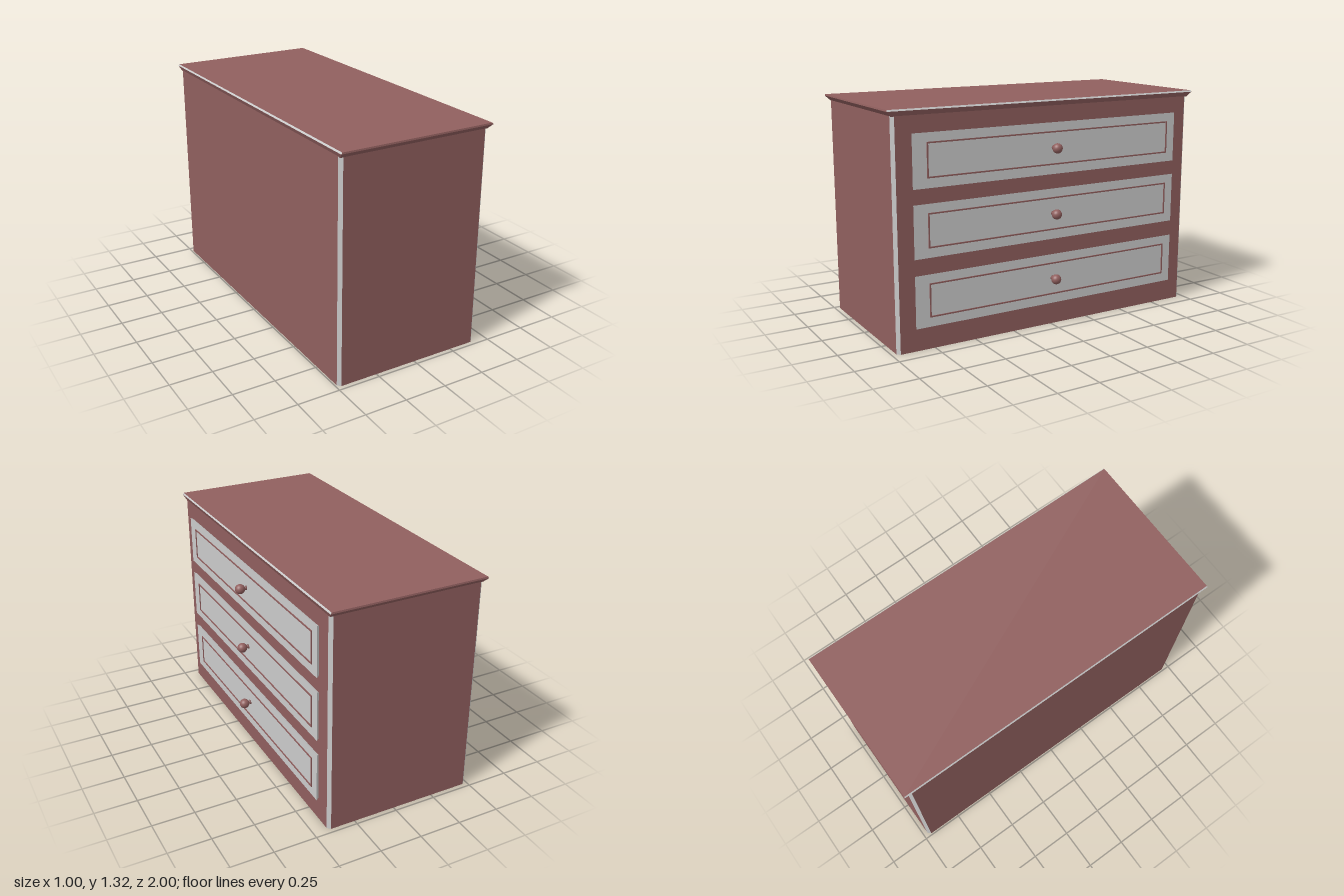
import * as THREE from 'three';

const wood = new THREE.MeshStandardMaterial({ color: 0x905f5e });
const grey = new THREE.MeshStandardMaterial({ color: 0xcccccc });

// Horizontal rectangle at height y; c > 0 cuts the corners
function ring(y, x0, x1, hz, c = 0) {
  const v = (x, z) => new THREE.Vector3(x, y, z);
  if (!c) return [v(x1, hz), v(x1, -hz), v(x0, -hz), v(x0, hz)];
  return [
    v(x1, hz - c), v(x1, -hz + c), v(x1 - c, -hz), v(x0 + c, -hz),
    v(x0, -hz + c), v(x0, hz - c), v(x0 + c, hz), v(x1 - c, hz),
  ];
}

// Flat-faced skin through stacked rings; isGrey(band, side) picks the colour
function loft(name, rings, isGrey) {
  const points = { wood: [], grey: [] };
  const n = rings[0].length;
  for (let b = 0; b < rings.length - 1; b++) {
    for (let i = 0; i < n; i++) {
      const j = (i + 1) % n;
      const [p, q] = [rings[b], rings[b + 1]];
      points[isGrey(b, i) ? 'grey' : 'wood'].push(p[i], p[j], q[j], p[i], q[j], q[i]);
    }
  }
  const caps = points[isGrey(-1, -1) ? 'grey' : 'wood'];
  const [low, high] = [rings[0], rings[rings.length - 1]];
  for (let i = 1; i < n - 1; i++) {
    caps.push(high[0], high[i], high[i + 1], low[0], low[i + 1], low[i]);
  }
  const group = new THREE.Group();
  group.name = name;
  for (const [key, material] of [['wood', wood], ['grey', grey]]) {
    if (!points[key].length) continue;
    const geometry = new THREE.BufferGeometry().setFromPoints(points[key]);
    geometry.computeVertexNormals();
    const mesh = new THREE.Mesh(geometry, material);
    mesh.name = `${name}${key === 'wood' ? 'Wood' : 'Grey'}`;
    group.add(mesh);
  }
  return group;
}

// Thin rectangular trim outline, facing +x
function trimGeometry(halfW, halfH, line, depth) {
  const rect = (P, w, h) => new P([
    new THREE.Vector2(-w, -h), new THREE.Vector2(w, -h),
    new THREE.Vector2(w, h), new THREE.Vector2(-w, h),
  ]);
  const shape = rect(THREE.Shape, halfW, halfH);
  shape.holes.push(rect(THREE.Path, halfW - line, halfH - line));
  return new THREE.ExtrudeGeometry(shape, { depth, bevelEnabled: false }).rotateY(Math.PI / 2);
}

// Stem and ball in one turned profile, pointing along +x
function knobGeometry() {
  const profile = [[0, 0], [0.014, 0], [0.01, 0.007]].map(([r, y]) => new THREE.Vector2(r, y));
  const radius = 0.029, centre = 0.039, start = 0.35;
  for (let i = 0; i <= 16; i++) {
    const a = start + (Math.PI - start) * i / 16;
    profile.push(new THREE.Vector2(Math.max(0, radius * Math.sin(a)), centre - radius * Math.cos(a)));
  }
  return new THREE.LatheGeometry(profile, 24).rotateZ(-Math.PI / 2);
}

export function createModel() {
  const model = new THREE.Group();
  model.name = 'chestOfDrawers';

  // Carcass with cut vertical corners
  model.add(loft('carcass',
    [ring(0, -0.49, 0.415, 0.973, 0.018), ring(1.285, -0.49, 0.415, 0.973, 0.018)],
    (b, i) => i % 2 === 1));

  // Top board: flaring underside and a small bevel above
  model.add(loft('topBoard',
    [ring(1.28, -0.488, 0.414, 0.971), ring(1.308, -0.5, 0.427, 1), ring(1.317, -0.494, 0.421, 0.998)],
    (b, i) => b === 1 && i % 2 === 0));

  // Drawers with trim and knob
  const trim = trimGeometry(0.7985, 0.096, 0.008, 0.005);
  const knob = knobGeometry();
  [[1.0425, 1.047], [0.6645, 0.668], [0.2785, 0.284]].forEach(([y, knobY]) => {
    const drawer = new THREE.Group();
    drawer.name = 'drawer';

    const front = loft('drawerFront',
      [ring(0.41, -0.137, 0.137, 0.857), ring(0.43, -0.1475, 0.1475, 0.868)], () => true);
    front.rotation.z = -Math.PI / 2;
    front.position.y = y;

    const outline = new THREE.Mesh(trim, wood);
    outline.name = 'drawerTrim';
    outline.position.set(0.4295, y + 0.002, -0.0135);

    const handle = new THREE.Mesh(knob, wood);
    handle.name = 'drawerKnob';
    handle.position.set(0.43, knobY, 0);

    drawer.add(front, outline, handle);
    model.add(drawer);
  });

  return model;
}
